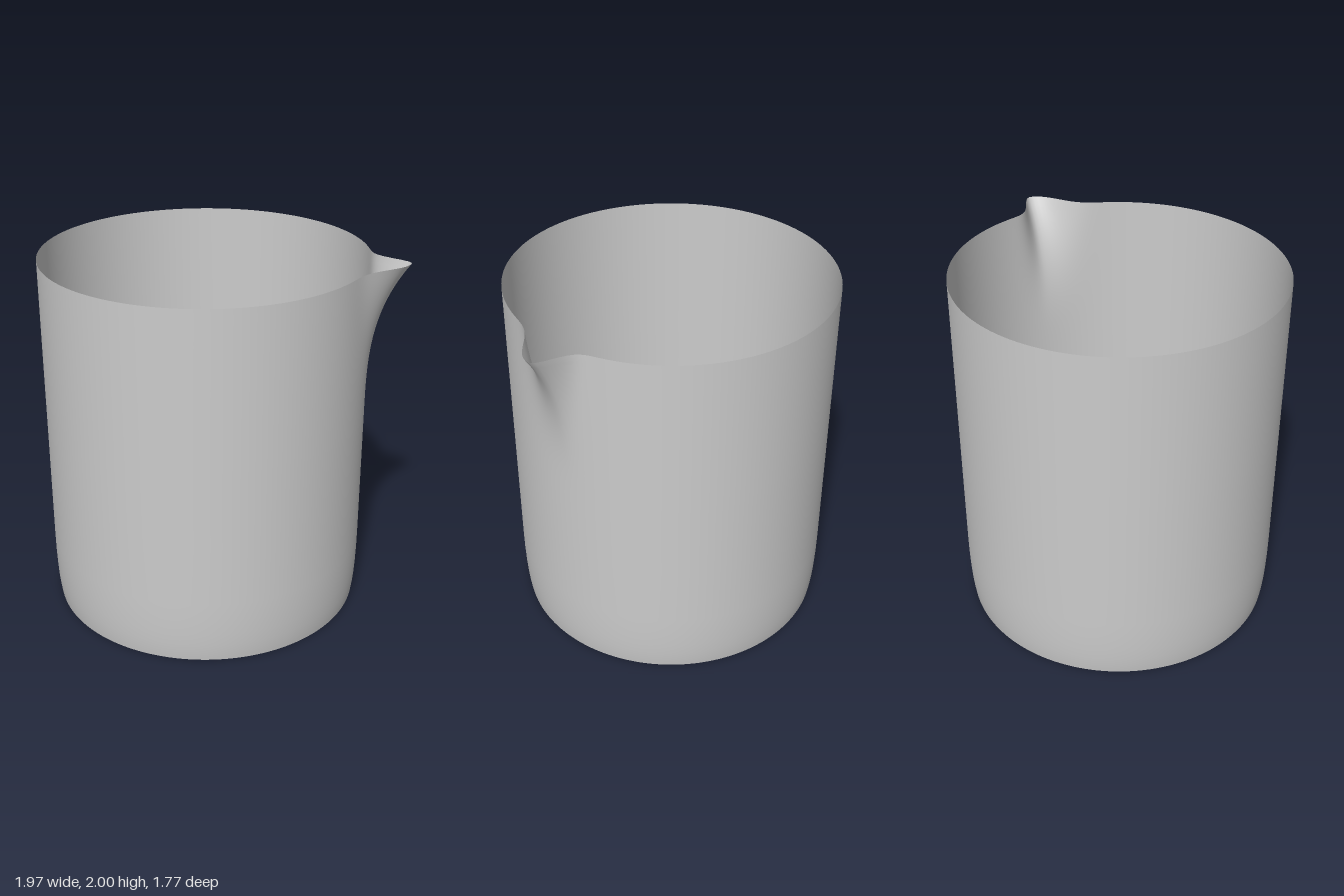
import * as THREE from 'three';
import { mergeVertices } from 'three/addons/utils/BufferGeometryUtils.js';

const RADIUS = 0.886;
const FLOOR_RADIUS = 0.866;
const SPOUT_ANGLE = THREE.MathUtils.degToRad(7.4);
const SPOUT_REACH = 0.204;
const SPOUT_START = 1.1; // height where the wall begins to flare

// How far the wall is pulled outward at an angle and height
function spoutOffset(angle, y) {
  if (y <= SPOUT_START) return 0;
  const d = THREE.MathUtils.radToDeg(angle - SPOUT_ANGLE);
  // the lip is steeper on its back side than on its front side
  const bell = d < 0 ? Math.exp(-Math.pow(-d / 4.9, 1.7)) : Math.exp(-Math.pow(d / 9.8, 2));
  return SPOUT_REACH * bell * Math.pow((y - SPOUT_START) / (2 - SPOUT_START), 3.3);
}

export function createModel() {
  const group = new THREE.Group();
  group.name = 'beaker';
  const material = new THREE.MeshStandardMaterial({ color: 0xcccccc, side: THREE.DoubleSide });

  // Wall profile: softly rounded foot, then straight up
  const profile = [
    [FLOOR_RADIUS, 0], [0.869, 0.02], [0.873, 0.05], [0.878, 0.1],
    [0.882, 0.17], [0.885, 0.26], [RADIUS, 0.36], [RADIUS, 0.7],
  ].map(([r, y]) => new THREE.Vector2(r, y));
  const rows = 22;
  for (let i = 0; i <= rows; i++) {
    profile.push(new THREE.Vector2(RADIUS, SPOUT_START + (2 - SPOUT_START) * i / rows));
  }

  // Revolve the wall, then pull out the pouring spout
  let wallGeometry = new THREE.LatheGeometry(profile, 288);
  const pos = wallGeometry.attributes.position;
  for (let i = 0; i < pos.count; i++) {
    const x = pos.getX(i), y = pos.getY(i), z = pos.getZ(i);
    const angle = Math.atan2(z, x);
    const r = Math.hypot(x, z) + spoutOffset(angle, y);
    pos.setXYZ(i, r * Math.cos(angle), y, r * Math.sin(angle));
  }
  // Weld the seam so the shading stays smooth all round
  wallGeometry.deleteAttribute('uv');
  wallGeometry.deleteAttribute('normal');
  wallGeometry = mergeVertices(wallGeometry, 1e-5);
  wallGeometry.computeVertexNormals();
  const wall = new THREE.Mesh(wallGeometry, material);
  wall.name = 'wallWithSpout';
  group.add(wall);

  // Flat floor closing the bottom
  const floor = new THREE.Mesh(new THREE.CircleGeometry(FLOOR_RADIUS, 288), material);
  floor.name = 'floor';
  floor.rotation.x = Math.PI / 2;
  group.add(floor);

  // The spout overhangs on one side, so the body sits off centre
  group.position.x = -0.098;
  return group;
}
